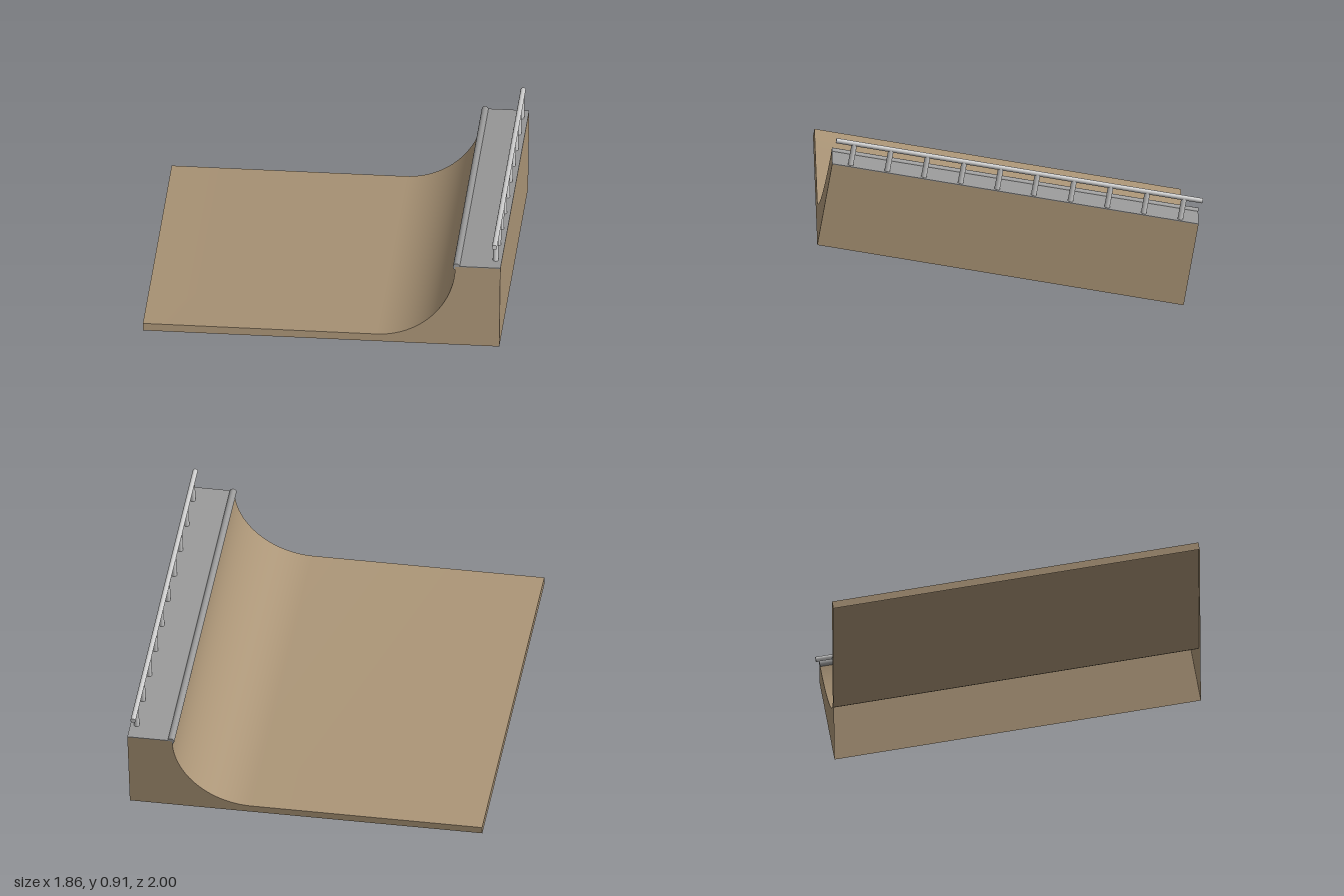
import * as THREE from 'three';
import { toCreasedNormals } from 'three/addons/utils/BufferGeometryUtils.js';

const LENGTH = 1.93, HEIGHT = 0.445, FLOOR = 0.04;
const LEFT = -0.93, RIGHT = 0.925, LIP = 0.69;
const TILT = THREE.MathUtils.degToRad(10);

const material = (color, side = THREE.FrontSide) =>
  new THREE.MeshStandardMaterial({ color, side });

function addMesh(parent, name, geometry, mat, x = 0, y = 0, z = 0) {
  const mesh = new THREE.Mesh(geometry, mat);
  mesh.name = name;
  mesh.position.set(x, y, z);
  parent.add(mesh);
  return mesh;
}

// Cross-section of the ramp, open along the ground
function rampProfile() {
  const radius = HEIGHT - FLOOR, steps = 24;
  const points = [new THREE.Vector2(LEFT, 0), new THREE.Vector2(LEFT, FLOOR)];
  for (let i = 0; i <= steps; i++) {
    const a = (i / steps) * Math.PI / 2;
    points.push(new THREE.Vector2(LIP - radius + radius * Math.sin(a), HEIGHT - radius * Math.cos(a)));
  }
  points.push(new THREE.Vector2(RIGHT, HEIGHT), new THREE.Vector2(RIGHT, 0));
  return points;
}

// Sheet sweeping the profile along z
function sweepSheet(points) {
  const geometry = new THREE.PlaneGeometry(1, 1, points.length - 1, 1);
  const pos = geometry.attributes.position;
  for (let i = 0; i < pos.count; i++) {
    const p = points[i % points.length];
    pos.setXYZ(i, p.x, p.y, -LENGTH * pos.getY(i));
  }
  return toCreasedNormals(geometry, Math.PI / 6);
}

export function createModel() {
  const model = new THREE.Group();
  model.name = 'quarterPipe';
  const ramp = new THREE.Group();
  ramp.name = 'tiltedRamp';
  ramp.rotation.x = -TILT;
  ramp.position.set(0, LENGTH / 2 * Math.sin(TILT), 0.05);
  model.add(ramp);

  const wood = material(0xaa9476, THREE.DoubleSide);
  const deckGrey = material(0x999999);
  const steel = material(0xcccccc);

  // Hollow wooden shell
  const profile = rampProfile();
  addMesh(ramp, 'ridingSurface', sweepSheet(profile), wood);
  const endGeometry = new THREE.ShapeGeometry(new THREE.Shape(profile));
  addMesh(ramp, 'frontWall', endGeometry, wood, 0, 0, LENGTH / 2);
  addMesh(ramp, 'backWall', endGeometry, wood, 0, 0, -LENGTH / 2).rotation.y = 0;

  // Standing deck and the coping pipe on its lip
  addMesh(ramp, 'deck', new THREE.BoxGeometry(RIGHT - LIP, 0.004, LENGTH), deckGrey,
    (RIGHT + LIP) / 2, HEIGHT + 0.002, 0);
  const coping = new THREE.CylinderGeometry(0.018, 0.018, LENGTH, 16).rotateX(Math.PI / 2);
  addMesh(ramp, 'coping', coping, deckGrey, 0.696, HEIGHT, 0);

  // Safety railing
  const railX = 0.892, railY = 0.566, postCount = 10;
  const rail = new THREE.CylinderGeometry(0.0135, 0.0135, LENGTH, 16).rotateX(Math.PI / 2);
  addMesh(ramp, 'handrail', rail, steel, railX, railY, 0);
  const post = new THREE.CylinderGeometry(0.0145, 0.0145, railY - HEIGHT, 16);
  for (let i = 0; i < postCount; i++) {
    const z = ((i + 0.5) / postCount - 0.5) * LENGTH;
    addMesh(ramp, 'railPost', post, steel, railX, (railY + HEIGHT) / 2, z);
  }
  return model;
}
